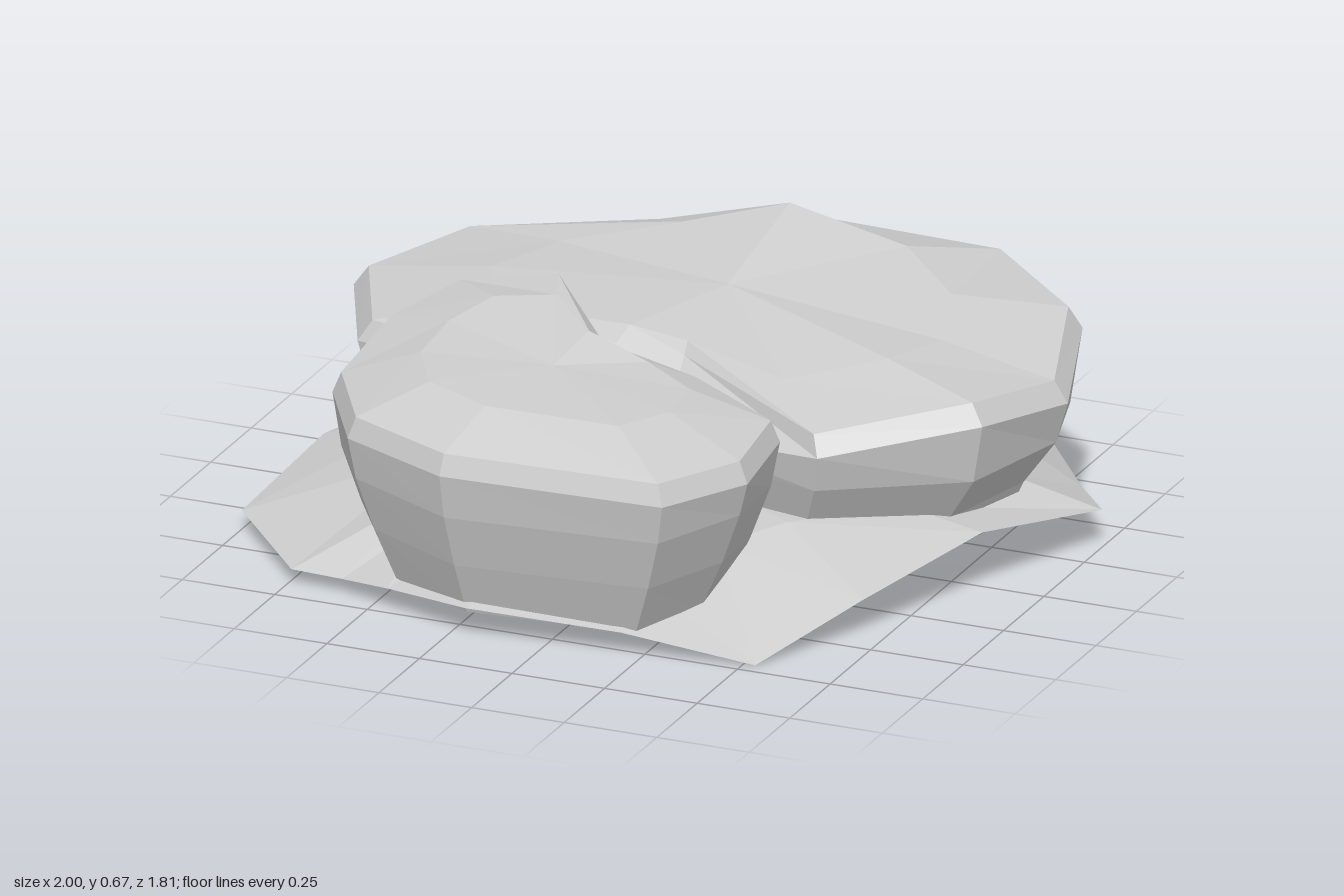
import * as THREE from 'three';

// Skin a list of closed rings (innermost/top first) around a centre point, faceted
function loft(name, apex, rings) {
  const pos = [], tri = (...p) => p.forEach((v) => pos.push(...v));
  const n = rings[0].length;
  for (let i = 0; i < n; i++) {
    const j = (i + 1) % n;
    tri(apex, rings[0][j], rings[0][i]);
    for (let k = 0; k + 1 < rings.length; k++) {
      const a = rings[k], b = rings[k + 1];
      tri(a[i], a[j], b[i]);
      tri(a[j], b[j], b[i]);
    }
  }
  const geo = new THREE.BufferGeometry();
  geo.setAttribute('position', new THREE.Float32BufferAttribute(pos, 3));
  geo.computeVertexNormals();
  const mesh = new THREE.Mesh(geo, new THREE.MeshStandardMaterial({
    color: 0xcccccc, flatShading: true, side: THREE.DoubleSide,
  }));
  mesh.name = name;
  return mesh;
}

// Flat-topped boulder: crown, bevel, rim, then walls tapering to an open base.
// Rim points are x, y, z, crown height, then optional bevel rise and bevel scale.
function boulder(name, rim, centre, crownScale, walls) {
  const ring = (scale, height) => rim.map((p, i) => {
    const s = scale(p);
    return [centre[0] + (p[0] - centre[0]) * s, height(p, i), centre[2] + (p[2] - centre[2]) * s];
  });
  return loft(name, centre, [
    ring(() => crownScale, (p) => p[3]),
    ring((p) => p[5] ?? 0.96, (p) => p[1] + (p[4] ?? 0.055)),
    ring(() => 1, (p) => p[1]),
    ...walls.map(([s, h]) => ring(() => s, (p, i) => h + 0.012 * Math.sin(i * 2.3))),
  ]);
}

export function createModel() {
  const group = new THREE.Group();
  group.name = 'rocks';

  // Wide rock at the back
  group.add(boulder('largeRock', [
    [-0.96, 0.44, -0.22, 0.54], [-0.81, 0.46, -0.53, 0.55], [-0.35, 0.49, -0.7, 0.61],
    [0.05, 0.51, -0.83, 0.67], [0.56, 0.51, -0.81, 0.61], [0.86, 0.49, -0.56, 0.57],
    [0.96, 0.42, -0.24, 0.53], [0.86, 0.45, 0.06, 0.54], [0.51, 0.39, 0.28, 0.5],
    [0.06, 0.36, 0.2, 0.54, 0.15, 0.68], [-0.2, 0.38, 0.17, 0.55, 0.13, 0.72],
    [-0.5, 0.42, 0.14, 0.54], [-0.81, 0.43, 0.1, 0.53],
  ], [0.03, 0.58, -0.27], 0.63,
  [[0.965, 0.3], [0.87, 0.18], [0.81, 0.06]]));

  // Smaller rock leaning against it at the front
  group.add(boulder('smallRock', [
    [-0.69, 0.5, 0.24, 0.62, 0.08, 0.93], [-0.58, 0.53, 0.03, 0.65, 0.09, 0.93],
    [-0.33, 0.55, -0.05, 0.66, 0.12, 0.82], [-0.08, 0.5, 0.19, 0.64, 0.09, 0.83],
    [0.2, 0.46, 0.22, 0.59, 0.08, 0.9], [0.44, 0.45, 0.35, 0.57], [0.47, 0.44, 0.62, 0.57],
    [0.34, 0.44, 0.85, 0.57], [-0.24, 0.45, 0.9, 0.58], [-0.54, 0.46, 0.78, 0.59],
    [-0.69, 0.47, 0.53, 0.6],
  ], [-0.13, 0.6, 0.45], 0.6,
  [[0.96, 0.34], [0.87, 0.2], [0.76, 0.06]]));

  // Ground patch running under both rocks: x, y, z of the outer edge,
  // then scale and height of the inner ring
  const edge = [
    [-0.98, 0.09, -0.08, 0.7, 0.2], [-0.93, 0.08, -0.3, 0.8, 0.18],
    [-0.72, 0.08, -0.58, 0.84, 0.16], [-0.57, 0.05, -0.75, 0.75, 0.15],
    [-0.2, 0.07, -0.77, 0.86, 0.14], [0.05, 0.09, -0.82, 0.86, 0.15],
    [0.48, 0.09, -0.91, 0.78, 0.17], [0.62, 0.07, -0.87, 0.78, 0.18],
    [0.84, 0.05, -0.6, 0.84, 0.18], [1.0, 0.1, -0.36, 0.78, 0.19],
    [0.86, 0.17, 0.06, 0.75, 0.2], [0.7, 0.1, 0.43, 0.6, 0.2],
    [0.53, 0, 0.71, 0.55, 0.17], [0.2, 0.06, 0.78, 0.75, 0.13],
    [-0.2, 0.08, 0.83, 0.75, 0.13], [-0.45, 0.06, 0.74, 0.75, 0.13],
    [-0.6, 0.04, 0.68, 0.75, 0.15], [-0.74, 0.04, 0.67, 0.66, 0.19],
    [-1.0, 0.05, 0.38, 0.55, 0.21],
  ];
  group.add(loft('ground', [0, 0.2, 0], [
    edge.map(([x, , z, s, h]) => [x * s, h, z * s]),
    edge.map(([x, y, z]) => [x, y, z]),
  ]));
  return group;
}
